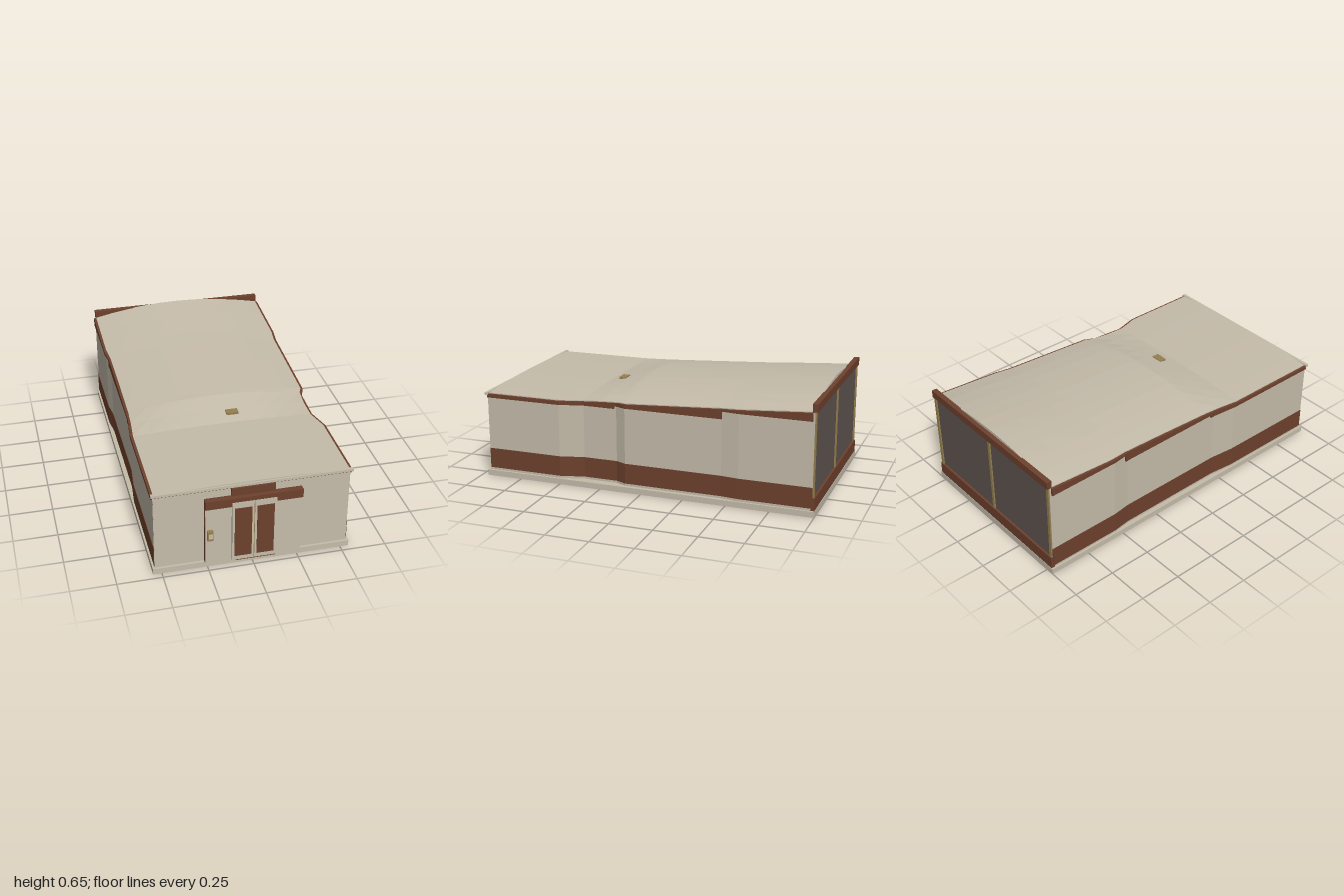
import * as THREE from 'three';

const mat = (name, color, side = THREE.FrontSide) =>
  Object.assign(new THREE.MeshStandardMaterial({ color, flatShading: true, side }), { name });

// Piecewise linear lookup; tables run from the front (+z) to the back.
function lookup(table, z) {
  if (z >= table[0][0]) return table[0][1];
  for (let i = 1; i < table.length; i++) {
    const [z0, v0] = table[i - 1], [z1, v1] = table[i];
    if (z >= z1) return v0 + (v1 - v0) * (z0 - z) / (z0 - z1);
  }
  return table[table.length - 1][1];
}

// Solid through sections along z. Each section lists its top points left to
// right, then its bottom points right to left.
function loft(sections) {
  const m = sections[0].length, last = sections.length - 1, pos = [];
  const quad = (a, b, c, d) => pos.push(...a, ...b, ...c, ...a, ...c, ...d);
  for (let s = 0; s < last; s++) {
    for (let i = 0; i < m; i++) {
      const j = (i + 1) % m;
      quad(sections[s][i], sections[s][j], sections[s + 1][j], sections[s + 1][i]);
    }
  }
  const f = sections[0], b = sections[last];
  for (let i = 0; i < m / 2 - 1; i++) {
    quad(f[m - 1 - i], f[m - 2 - i], f[i + 1], f[i]);
    quad(b[i], b[i + 1], b[m - 2 - i], b[m - 1 - i]);
  }
  const geo = new THREE.BufferGeometry();
  geo.setAttribute('position', new THREE.Float32BufferAttribute(pos, 3));
  geo.computeVertexNormals();
  return geo;
}

export function createModel() {
  const group = new THREE.Group();
  const cream = mat('cream', 0xc5bcaa);
  const brown = mat('brown', 0x6e412d);
  const brass = mat('brass', 0x96804f);
  const glass = mat('smokedGlass', 0x615650);

  const add = (name, geo, material) => {
    const mesh = new THREE.Mesh(geo, material);
    mesh.name = name;
    group.add(mesh);
    return mesh;
  };
  // Box given by its limits
  const box = (name, material, x0, x1, y0, y1, z0, z1) =>
    add(name, new THREE.BoxGeometry(x1 - x0, y1 - y0, z1 - z0), material)
      .position.set((x0 + x1) / 2, (y0 + y1) / 2, (z0 + z1) / 2);

  // Plan outlines of the long walls, and the heights of eave and ridge
  const outline = {
    left: [[0.95, 0.535], [0.5, 0.535], [0.36, 0.498], [0.16, 0.498], [0.1, 0.524], [-0.47, 0.526], [-0.57, 0.537], [-0.985, 0.537]],
    right: [[0.95, 0.537], [0.35, 0.537], [0.2, 0.522], [-0.45, 0.524], [-0.55, 0.537], [-0.985, 0.537]],
  };
  const eave = [[0.96, 0.503], [0.37, 0.504], [0.14, 0.518], [-0.53, 0.557], [-0.975, 0.588]];
  const ridge = [[0.96, 0.514], [0.37, 0.516], [0.14, 0.568], [-0.53, 0.609], [-0.975, 0.648]];

  // Foundation slab
  box('foundationSlab', cream, -0.548, 0.548, 0, 0.034, -1, 0.965);

  // Long walls with painted base band and stepped eave trim
  const sideStrip = (name, material, side, z0, z1, bottom, top, inner, outer) => {
    const zs = [z0, ...[...outline[side], ...eave].map(p => p[0]).filter(z => z < z0 && z > z1), z1];
    const stations = [...new Set(zs)].sort((a, b) => b - a);
    add(name, loft(stations.map(z => {
      const w = lookup(outline[side], z), t = top(z);
      let xs = [w + inner, w + outer];
      if (side === 'right') xs = [-xs[1], -xs[0]];
      return [[xs[0], t, z], [xs[1], t, z], [xs[1], bottom, z], [xs[0], bottom, z]];
    })), material);
  };
  for (const side of ['left', 'right']) {
    sideStrip(side + 'Wall', cream, side, 0.95, -0.985, 0.034, z => lookup(eave, z) - 0.008, -0.03, 0);
    sideStrip(side + 'BaseBand', brown, side, 0.949, -0.985, 0.048, () => 0.166, -0.002, 0.003);
    [[0.95, 0.17, 0.477], [0.17, -0.47, 0.493], [-0.47, -0.975, 0.536]].forEach(([a, b, y], i) =>
      sideStrip(side + 'EaveTrim' + (i + 1), brown, side, a, b, y, z => lookup(eave, z) - 0.005, -0.012, 0.01));
  }

  // Vaulted roof that follows the walls
  const steps = 10;
  const rows = [0.955, 0.65, 0.5, 0.37, 0.25, 0.14, 0.1, -0.2, -0.47, -0.57, -0.8, -0.975];
  add('roof', loft(rows.map(z => {
    const l = -lookup(outline.right, z) + 0.004, r = lookup(outline.left, z) - 0.004;
    const e = lookup(eave, z), c = lookup(ridge, z), pts = [];
    for (let i = 0; i <= steps; i++) {
      const u = 2 * i / steps - 1;
      pts.push([l + (r - l) * i / steps, e + (c - e) * (1 - u * u), z]);
    }
    return [...pts, ...pts.map(([x, y]) => [x, y - 0.016, z]).reverse()];
  })), cream);
  box('roofVent', brass, 0.017, 0.087, 0.525, 0.542, 0.27, 0.312);

  // Front wall and fascia
  box('frontWall', cream, -0.535, 0.535, 0.034, 0.488, 0.925, 0.951);
  box('fasciaUnderside', brown, -0.535, 0.535, 0.485, 0.493, 0.94, 0.956);
  box('frontFascia', cream, -0.548, 0.548, 0.492, 0.507, 0.945, 0.964);

  // Entrance surround and header
  box('entranceBacking', brown, -0.265, 0.265, 0.034, 0.39, 0.95, 0.968);
  box('entrancePanel', cream, -0.264, 0.264, 0.036, 0.39, 0.968, 0.976);
  box('entranceHeader', brown, -0.266, 0.266, 0.389, 0.44, 0.955, 0.99);
  box('headerCrown', brown, -0.12, 0.12, 0.44, 0.486, 0.95, 0.966);

  // Double doors
  box('doorThreshold', brown, -0.1, 0.12, 0.034, 0.041, 0.965, 0.99);
  for (const s of [-1, 1]) {
    const span = (a, b) => s > 0 ? [a, b] : [-b, -a];
    box('doorLeaf', cream, ...span(0.002, 0.121), 0.041, 0.414, 0.97, 0.993);
    box('doorPane', brown, ...span(0.014, 0.108), 0.067, 0.378, 0.992, 0.996);
  }
  box('doorJoint', brass, -0.002, 0.002, 0.041, 0.414, 0.97, 0.992);

  // Entry keypad
  box('keypad', brass, -0.256, -0.224, 0.191, 0.25, 0.975, 0.997);
  box('keypadScreen', cream, -0.249, -0.227, 0.206, 0.235, 0.996, 1);

  // Glazed back with sill, mullions and beam
  box('backGlass', glass, -0.533, 0.533, 0.1, 0.59, -0.985, -0.975);
  box('backSill', brown, -0.537, 0.537, 0.034, 0.106, -0.998, -0.975);
  box('backBeam', brown, -0.537, 0.537, 0.585, 0.63, -1, -0.97);
  for (const x of [-0.525, 0, 0.525])
    box('mullion', brass, x - 0.009, x + 0.009, 0.106, 0.586, -0.993, -0.98);

  return group;
}
